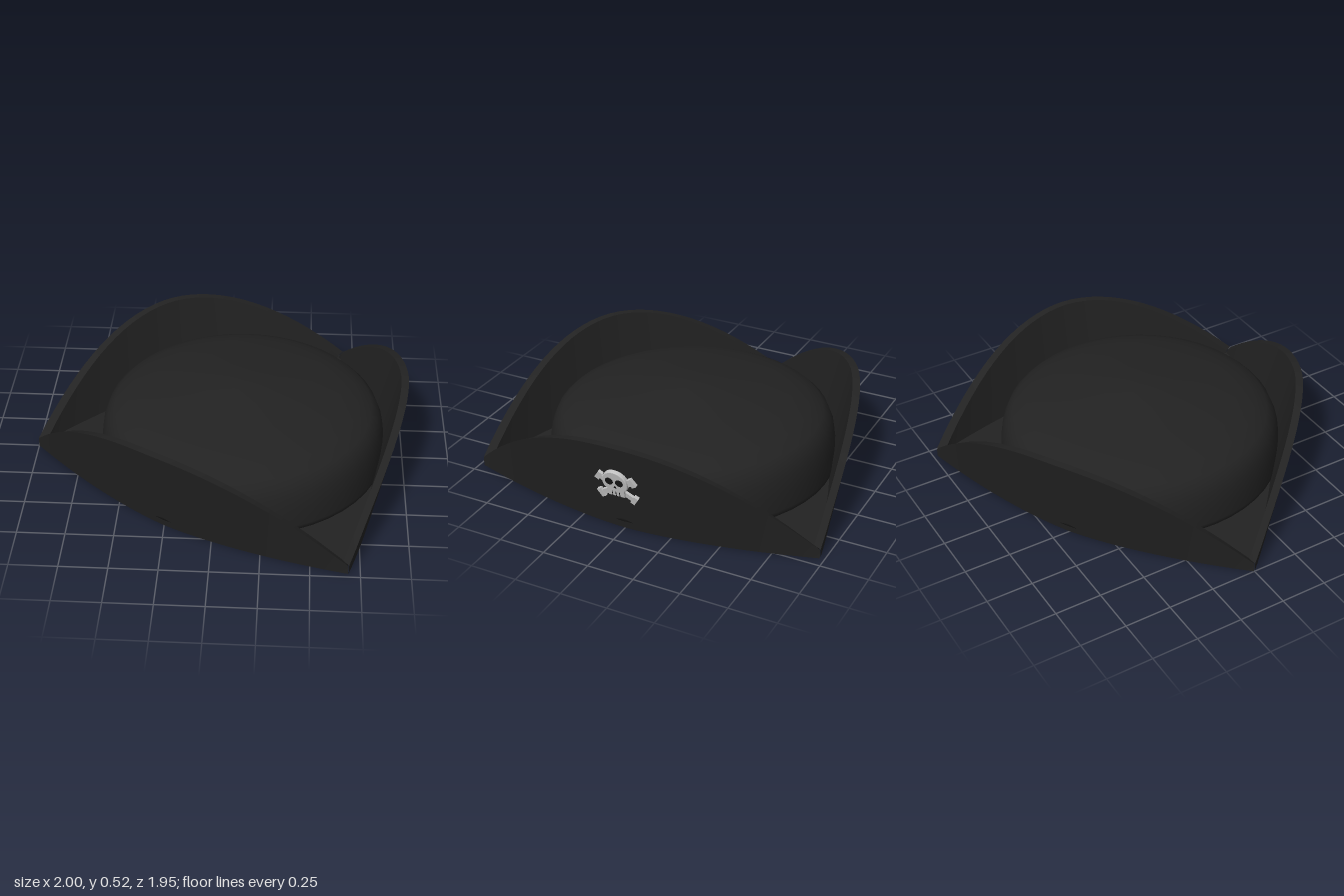
import * as THREE from 'three';

const felt = new THREE.MeshStandardMaterial({ color: 0x222222 });
felt.name = 'black felt';
const bone = new THREE.MeshStandardMaterial({ color: 0xc4c4c4 });
bone.name = 'pale bone';
const hollow = new THREE.MeshStandardMaterial({ color: 0x151515 });
hollow.name = 'dark hollow';

const CENTRE_X = 0.127;    // axis of the three-fold symmetry
const LEAN = Math.atan2(0.12, 0.525);
const STEPS = 32;

function add(parent, name, geometry, material, x = 0, y = 0, z = 0) {
  const mesh = new THREE.Mesh(geometry, material);
  mesh.name = name;
  mesh.position.set(x, y, z);
  parent.add(mesh);
  return mesh;
}

// Distance of a brim edge from the axis, s = -1..1 along one side
const edgeX = (s, bulge) => 0.565 + bulge * (1 - Math.abs(s) ** 1.65);
const edgeZ = (s) => 0.975 * s;

// One upturned flap: a four-cornered section swept along s, crisp across and smooth along
function flapGeometry() {
  const positions = [], index = [];
  for (let i = 0; i <= STEPS; i++) {
    const s = (i / STEPS) * 2 - 1;
    const h = 0.05 + 0.475 * (1 - s * s);
    const foot = edgeX(s, 0.188), lip = foot + 0.12 * (h / 0.525) * (1 - s * s) ** 0.3;
    const z = edgeZ(s), k = 0.955;
    const section = [[foot, 0, z], [lip, h, z], [lip * k, h, z * k], [foot * k, 0, z * k]];
    for (let c = 0; c < 4; c++) positions.push(...section[c], ...section[(c + 1) % 4]);
  }
  for (let i = 0; i < STEPS; i++) {
    for (let c = 0; c < 4; c++) {
      const p = i * 8 + c * 2, q = p + 1;
      index.push(p, q, p + 8, q, q + 8, p + 8);
    }
  }
  const g = new THREE.BufferGeometry();
  g.setAttribute('position', new THREE.Float32BufferAttribute(positions, 3));
  g.setIndex(index);
  g.computeVertexNormals();
  return g;
}

// Flat three-cornered brim with the head opening
function brimGeometry() {
  const points = [];
  for (let k = 0; k < 3; k++) {
    for (let i = 0; i < STEPS; i++) {
      const s = (i / STEPS) * 2 - 1;
      points.push(new THREE.Vector2(edgeX(s, 0.188), edgeZ(s)).multiplyScalar(0.975)
        .rotateAround(new THREE.Vector2(), (k * Math.PI * 2) / 3));
    }
  }
  const shape = new THREE.Shape(points);
  shape.holes.push(new THREE.Path().absarc(0, 0, 0.54, 0, Math.PI * 2, true));
  const g = new THREE.ExtrudeGeometry(shape, { depth: 0.035, bevelEnabled: false, curveSegments: 32 });
  return g.rotateX(-Math.PI / 2);
}

const lathe = (pts) => new THREE.LatheGeometry(pts.map(([r, y]) => new THREE.Vector2(r, y)), 48);

// Skull and crossed bones, built facing +z with y measured up the flap
function buildEmblem() {
  const emblem = new THREE.Group();
  emblem.name = 'emblem';

  for (const side of [-1, 1]) {
    const crossBone = new THREE.Group();
    crossBone.name = 'crossBone';
    crossBone.position.set(0, 0.285, 0.002);
    crossBone.rotation.z = side * 0.56;
    add(crossBone, 'boneShaft', new THREE.BoxGeometry(0.22, 0.028, 0.02), bone);
    for (const end of [-1, 1]) {
      add(crossBone, 'boneEnd', new THREE.BoxGeometry(0.026, 0.05, 0.024), bone, end * 0.108, 0, 0);
    }
    emblem.add(crossBone);
  }

  const head = new THREE.Shape();
  head.moveTo(-0.042, 0.242);
  head.lineTo(0.042, 0.242);
  head.lineTo(0.044, 0.282);
  head.absarc(0, 0.325, 0.066, -0.55, Math.PI + 0.55, false);
  head.lineTo(-0.044, 0.282);
  add(emblem, 'skull', new THREE.ExtrudeGeometry(head, {
    depth: 0.02, bevelSize: 0.004, bevelThickness: 0.004, bevelSegments: 2, curveSegments: 20,
  }), bone, 0, 0, -0.003);

  for (const side of [-1, 1]) {
    const eye = new THREE.CylinderGeometry(0.021, 0.021, 0.004, 20).rotateX(Math.PI / 2);
    add(emblem, 'eyeSocket', eye, hollow, side * 0.028, 0.333, 0.022);
  }
  const nose = new THREE.CylinderGeometry(0.009, 0.009, 0.004, 3).rotateX(Math.PI / 2);
  nose.rotateZ(Math.PI);
  add(emblem, 'noseHole', nose, hollow, 0, 0.3, 0.0215);
  for (const x of [-0.02, 0, 0.02]) {
    add(emblem, 'toothGap', new THREE.BoxGeometry(0.003, 0.03, 0.003), hollow, x, 0.256, 0.0215);
  }

  // Lay it against the leaning front of the +x flap
  const c = Math.cos(LEAN), s = Math.sin(LEAN);
  const basis = new THREE.Matrix4().makeBasis(
    new THREE.Vector3(0, 0, -1), new THREE.Vector3(s, c, 0), new THREE.Vector3(c, -s, 0));
  emblem.quaternion.setFromRotationMatrix(basis);
  emblem.position.set(0.565 + 0.188, 0, 0);
  return emblem;
}

export function createModel() {
  const model = new THREE.Group();
  model.name = 'threeCorneredHat';
  const hat = new THREE.Group();
  hat.name = 'hat';
  hat.position.x = CENTRE_X;
  model.add(hat);

  add(hat, 'brim', brimGeometry(), felt);

  const flap = flapGeometry();
  for (let k = 0; k < 3; k++) {
    add(hat, 'upturnedFlap', flap, felt).rotation.y = (k * Math.PI * 2) / 3;
  }

  // Crown: outer dome and hollow inside
  add(hat, 'crown', lathe([
    [0.72, 0.02], [0.765, 0.045], [0.768, 0.07], [0.762, 0.16], [0.75, 0.24], [0.725, 0.3],
    [0.69, 0.335], [0.62, 0.372], [0.52, 0.4], [0.38, 0.425], [0.2, 0.455], [0.08, 0.47], [0, 0.474],
  ]), felt);
  add(hat, 'crownLining', lathe([
    [0, 0.43], [0.2, 0.42], [0.42, 0.385], [0.58, 0.33], [0.65, 0.26], [0.67, 0.18],
    [0.64, 0.1], [0.57, 0.045], [0.54, 0.03], [0.54, 0.002],
  ]), felt);

  hat.add(buildEmblem());
  return model;
}
